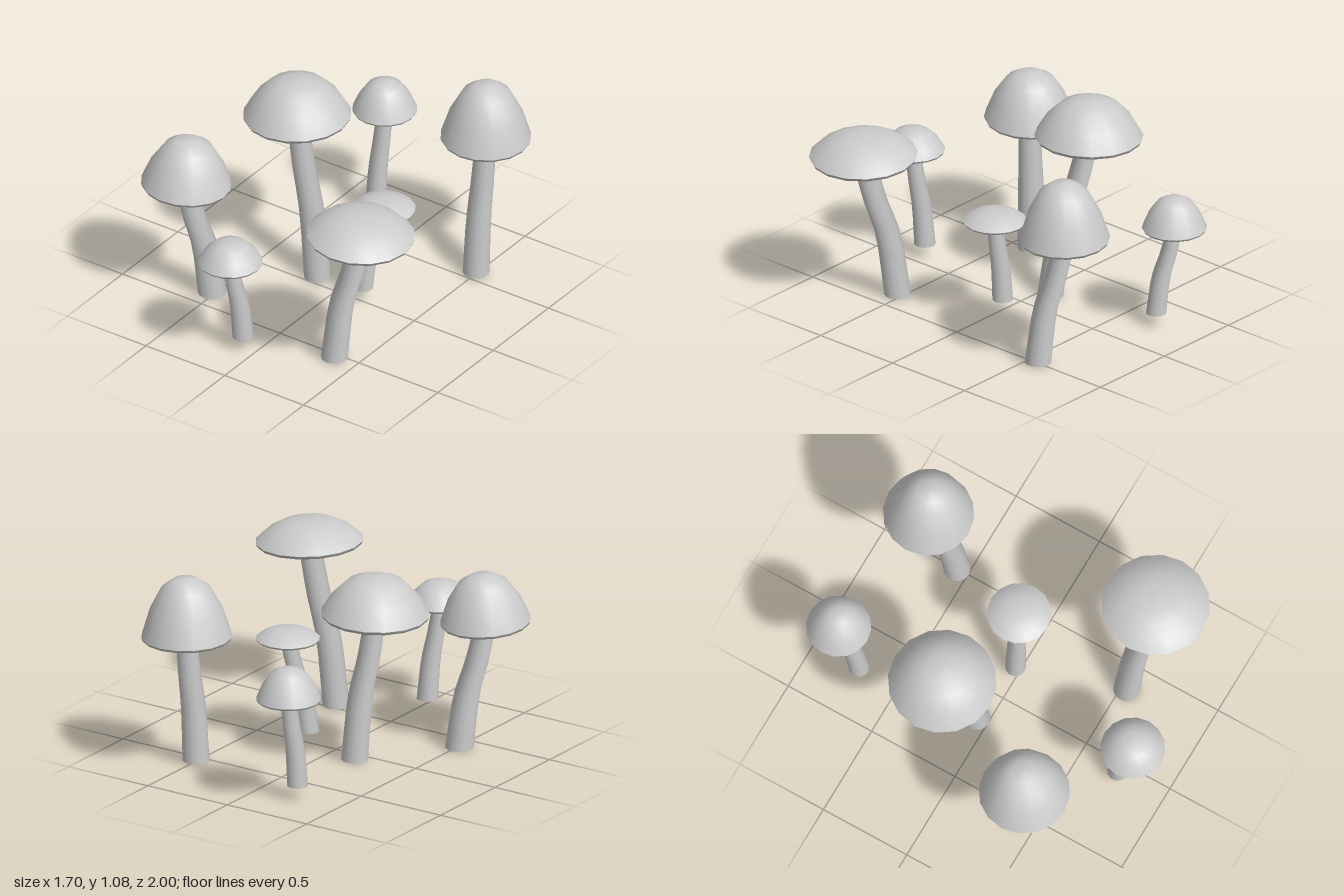
import * as THREE from 'three';

const material = new THREE.MeshStandardMaterial({ color: 0xcccccc });
const V2 = (x, y) => new THREE.Vector2(x, y);

// Cap profile as fractions of radius and height, from the rim to the crown
const DOME = [[1, 0], [0.81, 0.45], [0.54, 0.83], [0.27, 0.98], [0, 1]];

function mesh(name, geometry) {
  const m = new THREE.Mesh(geometry, material);
  m.name = name;
  return m;
}

// Tapered stem: horizontal rings that follow an S-shaped lean
function makeStem(base, tip, r0, r1) {
  const at = (t, f) => new THREE.Vector3(
    THREE.MathUtils.lerp(base[0], tip[0], f),
    THREE.MathUtils.lerp(base[1], tip[1], t),
    THREE.MathUtils.lerp(base[2], tip[2], f));
  const path = new THREE.CatmullRomCurve3([at(0, 0), at(0.43, 0.28), at(0.7, 0.67), at(1, 1)]);
  const geo = new THREE.CylinderGeometry(r1, r0, 1, 14, 8);
  const pos = geo.attributes.position;
  for (let i = 0; i < pos.count; i++) {
    const c = path.getPoint(THREE.MathUtils.clamp(pos.getY(i) + 0.5, 0, 1));
    pos.setXYZ(i, c.x + pos.getX(i), c.y, c.z + pos.getZ(i));
  }
  // the lean is slight, so the cylinder's own smooth normals still hold
  return mesh('stem', geo);
}

// Domed cap with a crisp rim and a shallow conical underside
function makeCap(r, h) {
  const cap = new THREE.Group();
  cap.name = 'cap';
  const dome = DOME.map(([x, y]) => V2(x * r, y * h));
  const under = [V2(0, -0.16 * r), V2(0.5 * r, -0.115 * r), V2(0.97 * r, -0.06 * r), V2(r, 0)];
  cap.add(
    mesh('capTop', new THREE.LatheGeometry(dome, 16)),
    mesh('capUnderside', new THREE.LatheGeometry(under, 16)));
  return cap;
}

// base: stem foot; cap: rim centre; r, h: cap size; stem: foot and tip radius; slope: rim tilt in x and z
const MUSHROOMS = [
  { name: 'leftRoundMushroom', base: [-0.515, 0.01, 0.38], cap: [-0.61, 0.7, 0.48], r: 0.238, h: 0.26, stem: [0.075, 0.056], slope: [-0.03, 0.05] },
  { name: 'tallWideMushroom', base: [-0.16, 0.005, -0.065], cap: [-0.355, 0.885, -0.16], r: 0.284, h: 0.205, stem: [0.07, 0.056], slope: [0.03, 0] },
  { name: 'flatWideMushroom', base: [0.365, 0.01, 0.53], cap: [0.57, 0.868, 0.585], r: 0.284, h: 0.11, stem: [0.07, 0.059], slope: [-0.05, 0] },
  { name: 'tallBellMushroom', base: [0.497, 0.015, -0.563], cap: [0.455, 0.757, -0.71], r: 0.238, h: 0.32, stem: [0.07, 0.055], slope: [-0.02, 0] },
  { name: 'smallBackMushroom', base: [-0.25, 0.08, -0.72], cap: [-0.27, 0.6, -0.83], r: 0.17, h: 0.17, stem: [0.054, 0.042], slope: [0, 0] },
  { name: 'smallFrontMushroom', base: [-0.073, 0.08, 0.73], cap: [-0.087, 0.59, 0.827], r: 0.17, h: 0.115, stem: [0.056, 0.04], slope: [0, 0] },
  { name: 'smallFlatMushroom', base: [0.16, 0.08, -0.018], cap: [0.265, 0.585, -0.057], r: 0.168, h: 0.052, stem: [0.054, 0.041], slope: [0, 0] },
];

export function createModel() {
  const group = new THREE.Group();
  group.name = 'mushrooms';
  for (const { name, base, cap, r, h, stem, slope } of MUSHROOMS) {
    const mushroom = new THREE.Group();
    mushroom.name = name;
    const top = makeCap(r, h);
    top.position.set(...cap);
    top.rotation.set(-slope[1], 0, slope[0]);
    const tip = [cap[0], cap[1] - 0.06 * r, cap[2]]; // ends just inside the cap
    mushroom.add(makeStem(base, tip, ...stem), top);
    group.add(mushroom);
  }
  return group;
}
